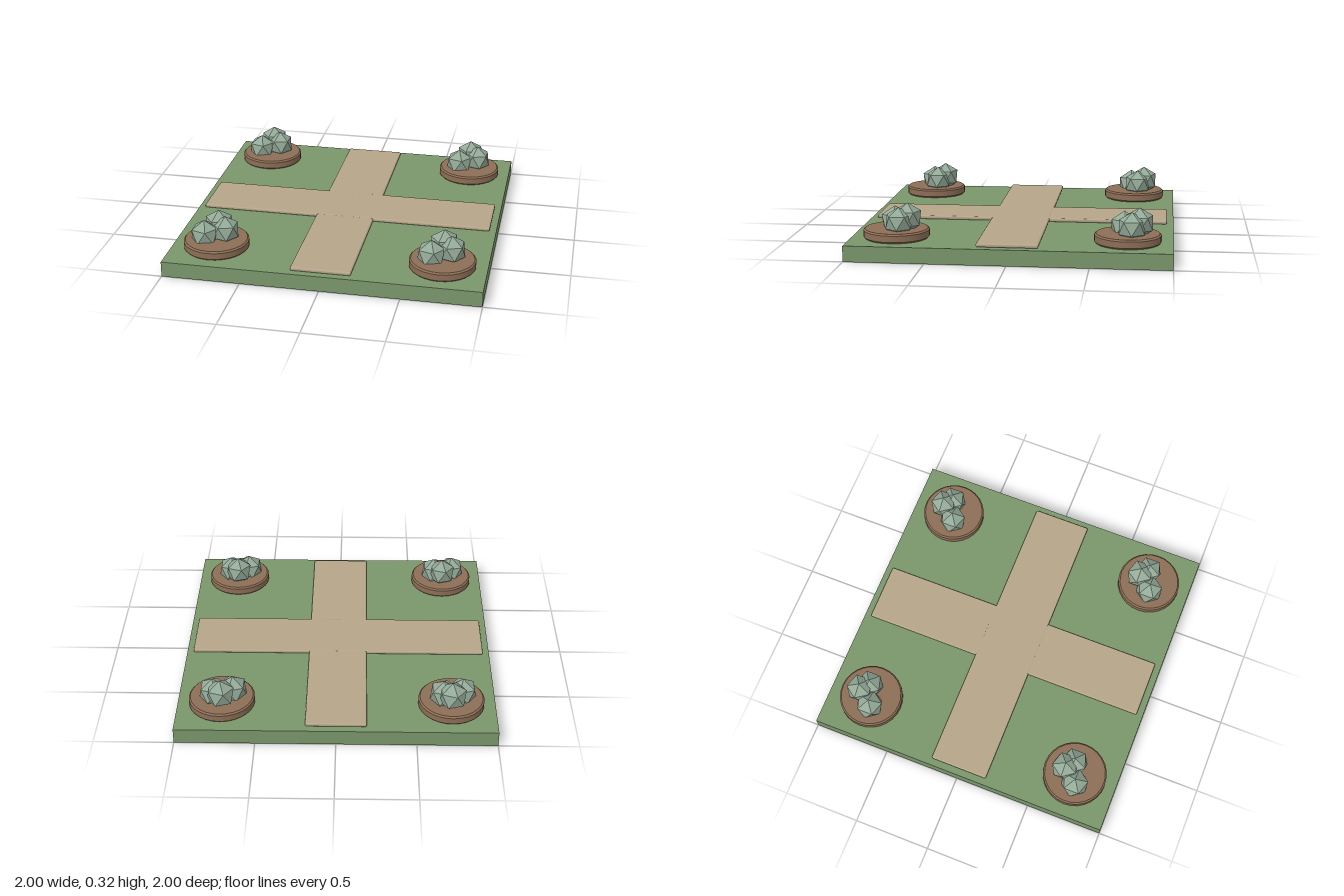
import * as THREE from 'three';
import { toCreasedNormals } from 'three/addons/utils/BufferGeometryUtils.js';
import { RoundedBoxGeometry } from 'three/addons/geometries/RoundedBoxGeometry.js';

const material = (name, color, flatShading = false) => {
  const m = new THREE.MeshStandardMaterial({ color, flatShading });
  m.name = name;
  return m;
};

function addMesh(parent, name, geometry, mat, x = 0, y = 0, z = 0) {
  const mesh = new THREE.Mesh(geometry, mat);
  mesh.name = name;
  mesh.position.set(x, y, z);
  parent.add(mesh);
  return mesh;
}

export function createModel() {
  const garden = new THREE.Group();
  garden.name = 'garden';
  const grass = material('grass green', 0x7a966b);
  const paving = material('path tan', 0xb5a589);
  const soil = material('soil brown', 0x8d6e56);
  const leaf = material('shrub grey green', 0x94aa98, true);

  // Lawn slab
  addMesh(garden, 'lawn', new THREE.BoxGeometry(2, 0.1, 2), grass, 0, 0.05, 0);

  // Crossing paths with softened edges, one a hair above the other
  addMesh(garden, 'pathAcross', new RoundedBoxGeometry(1.915, 0.025, 0.38, 2, 0.01), paving, 0, 0.1145, 0);
  addMesh(garden, 'pathAlong', new RoundedBoxGeometry(0.38, 0.025, 1.915, 2, 0.01), paving, 0, 0.1125, 0);

  // Round bed with chamfered rims
  const profile = [[0, 0.1], [0.197, 0.1], [0.207, 0.11], [0.207, 0.15], [0.197, 0.16], [0, 0.16]]
    .map(([r, y]) => new THREE.Vector2(r, y));
  const bedGeometry = toCreasedNormals(new THREE.LatheGeometry(profile, 28), 0.5);

  // Icosahedron turned so one corner points up
  const shrubGeometry = new THREE.IcosahedronGeometry(1, 0).rotateZ(Math.atan(2 / (1 + Math.sqrt(5))));

  // Shrubs in each bed: x, y, z, radius, yaw
  const shrubs = [
    [-0.07, 0.19, 0.022, 0.095, Math.PI],
    [0.053, 0.208, -0.025, 0.093, 0],
    [0, 0.225, -0.07, 0.095, 0],
  ];

  for (const x of [-0.72, 0.72]) {
    for (const z of [-0.72, 0.72]) {
      const bed = new THREE.Group();
      bed.name = 'plantingBed';
      bed.position.set(x, 0, z);
      addMesh(bed, 'soilMound', bedGeometry, soil);
      for (const [sx, sy, sz, r, yaw] of shrubs) {
        const shrub = addMesh(bed, 'shrub', shrubGeometry, leaf, sx, sy, sz);
        shrub.scale.setScalar(r);
        shrub.rotation.y = yaw;
      }
      garden.add(bed);
    }
  }
  return garden;
}
